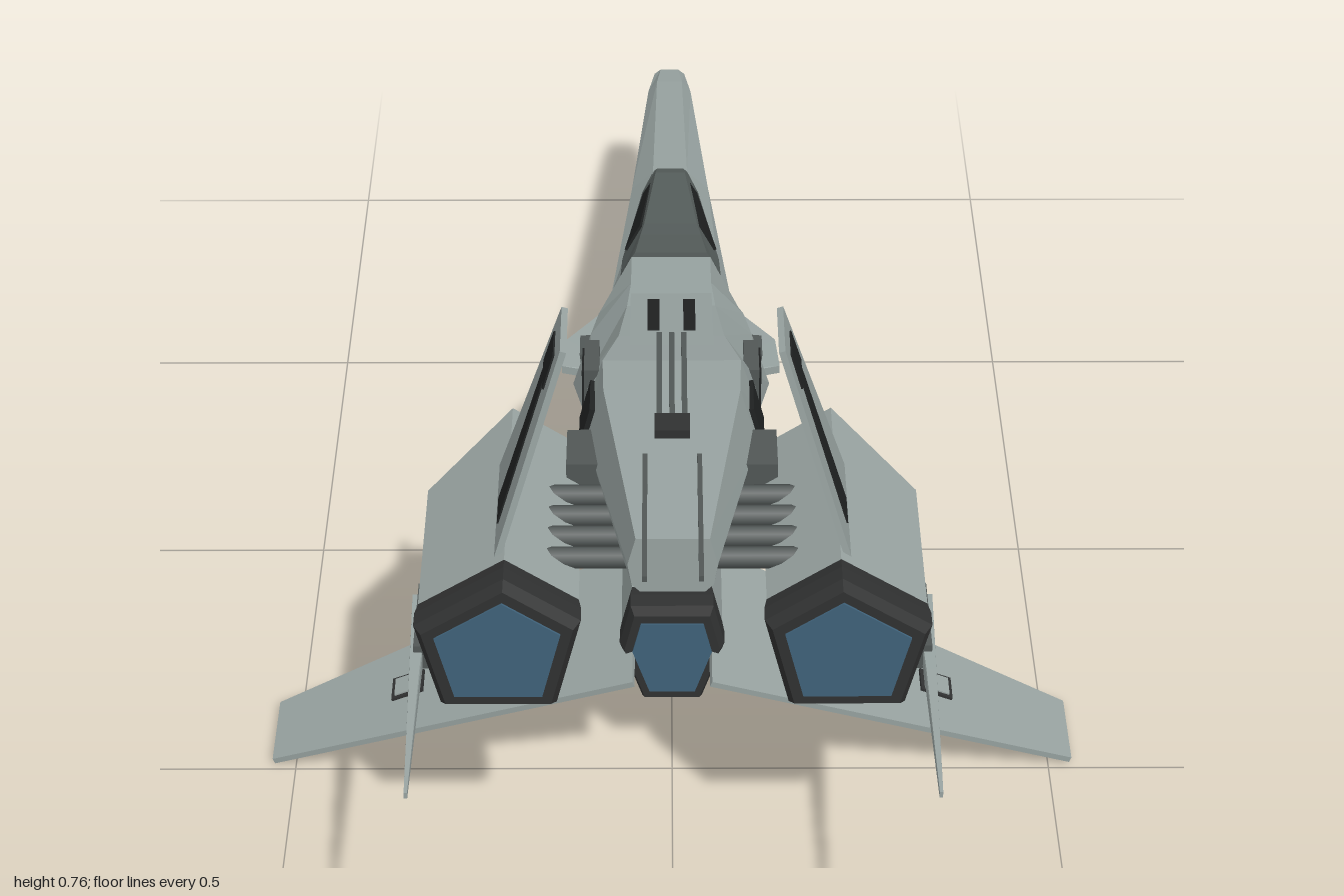
import * as THREE from 'three';
import { ConvexGeometry } from 'three/addons/geometries/ConvexGeometry.js';

const mat = (name, color) => {
  const m = new THREE.MeshStandardMaterial({ color });
  m.name = name;
  return m;
};
const V = (x, y, z) => new THREE.Vector3(x, y, z);

export function createModel() {
  const hull = mat('hullGrey', 0x98a3a1);
  const black = mat('blackMarking', 0x202222);
  const glow = mat('exhaustBlue', 0x3f627a);
  const tint = mat('canopyGrey', 0x59615f);
  const metal = mat('darkMetal', 0x515756);
  const rimMat = mat('nozzleRim', 0x303131);
  const model = new THREE.Group();

  const add = (parent, name, geo, material) => {
    const m = new THREE.Mesh(geo, material);
    m.name = name;
    parent.add(m);
    return m;
  };
  const box = (parent, name, material, w, h, d, x, y, z, rx = 0, rz = 0) => {
    const m = add(parent, name, new THREE.BoxGeometry(w, h, d), material);
    m.position.set(x, y, z);
    m.rotation.set(rx, 0, rz);
    return m;
  };
  const solid = (parent, name, material, pts) => add(parent, name, new ConvexGeometry(pts), material);
  // thin sheet: corners pushed both ways along a normal
  const plate = (parent, name, material, corners, n, t) =>
    solid(parent, name, material, corners.flatMap(c => [c.clone().addScaledVector(n, t), c.clone().addScaledVector(n, -t)]));

  // flat-shaded skin over mirrored cross-sections: [z, then half-width, height pairs from top down]
  const loft = (sections) => {
    const rings = sections.map(([z, ...p]) => {
      const right = [], left = [];
      for (let i = 0; i < p.length; i += 2) {
        right.push(V(p[i], p[i + 1], z));
        left.unshift(V(-p[i], p[i + 1], z));
      }
      return [...left, ...right].reverse();
    });
    const pos = [], tri = (...v) => v.forEach(q => pos.push(q.x, q.y, q.z));
    const n = rings[0].length;
    for (let r = 0; r < rings.length - 1; r++) {
      for (let i = 0; i < n; i++) {
        const j = (i + 1) % n, a = rings[r], b = rings[r + 1];
        tri(a[i], a[j], b[j]);
        tri(a[i], b[j], b[i]);
      }
    }
    const first = rings[0], last = rings[rings.length - 1];
    for (let i = 1; i < n - 1; i++) {
      tri(first[0], first[i + 1], first[i]);
      tri(last[0], last[i], last[i + 1]);
    }
    const g = new THREE.BufferGeometry();
    g.setAttribute('position', new THREE.Float32BufferAttribute(pos, 3));
    g.computeVertexNormals();
    return g;
  };

  // long needle nose, body and tapering tail
  add(model, 'fuselage', loft([
    [-1.0, .014, .245, .024, .237, .024, .225, .014, .215],
    [-.94, .02, .255, .034, .237, .034, .217, .02, .195],
    [-.57, .026, .299, .058, .27, .062, .235, .035, .188],
    [-.2, .07, .34, .085, .31, .088, .25, .05, .187],
    [-.08, .055, .443, .095, .36, .112, .27, .06, .176],
    [0, .055, .45, .1, .4, .13, .29, .075, .215],
    [.07, .06, .456, .11, .41, .135, .33, .085, .28],
    [.2, .07, .49, .11, .43, .115, .36, .09, .3],
    [.3, .09, .515, .114, .44, .1, .38, .08, .31],
    [.38, .088, .521, .11, .44, .09, .41, .06, .39],
    [.72, .045, .528, .055, .49, .05, .46, .04, .45],
  ]), hull);

  // canopy and its dark side panes
  add(model, 'canopy', loft([
    [-.575, .02, .302, .026, .297],
    [-.5, .022, .338, .042, .304],
    [-.26, .038, .391, .07, .331],
    [-.2, .043, .408, .072, .34],
    [-.085, .05, .447, .056, .438],
  ]), tint);
  for (const s of [-1, 1]) {
    plate(model, 'canopyPane', black,
      [V(s * .0275, .33, -.48), V(s * .042, .383, -.265), V(s * .064, .343, -.265), V(s * .038, .313, -.48)],
      V(s * .88, .47, 0), .003);
  }

  // raised spine hatch with slots
  box(model, 'spineHatch', hull, .11, .014, .19, 0, .48, .145, -.24);
  for (const x of [-.024, .024]) box(model, 'spineSlot', black, .016, .008, .13, x, .485, .145, -.24);
  for (const x of [-.016, 0, .016]) box(model, 'spineRail', metal, .007, .012, .24, x, .519, .36, -.035);
  box(model, 'spineBox', rimMat, .045, .018, .04, 0, .526, .475);

  // keel strut under the body
  solid(model, 'keelStrut', hull, [-1, 1].flatMap(s => [
    V(s * .08, .33, .08), V(s * .085, .34, .33), V(s * .07, .42, .37),
    V(s * .05, .24, .25), V(s * .05, .24, .41), V(s * .075, .285, .06)]));
  plate(model, 'rearHatch', metal, [V(-.045, .36, .385), V(.045, .36, .385), V(.032, .27, .408), V(-.032, .27, .408)], V(0, .25, .97), .006);

  // nozzle: dark chamfered rim and blue exhaust face
  const nozzle = (parent, profile, cx, cy, z, inner) => {
    const ring = (k, zz) => profile.map(([x, y]) => V(cx + (x - cx) * k, cy + (y - cy) * k, zz));
    solid(parent, 'nozzleRim', rimMat, [...ring(1, z - .06), ...ring(1.035, z - .04), ...ring(1.035, z - .015), ...ring(.94, z)]);
    solid(parent, 'exhaust', glow, [...ring(inner, z - .005), ...ring(inner, z + .003)]);
  };

  // lower engine pod with raked front
  const podProfile = [[-.052, .257], [.052, .257], [.066, .2], [.038, .118], [-.038, .118], [-.066, .2]];
  solid(model, 'lowerPod', hull, podProfile.flatMap(([x, y]) => [V(x, y, .48), V(x, y, .23 + (.257 - y) * .85)]));
  nozzle(model, podProfile, 0, .19, .505, .78);
  box(model, 'podSkid', rimMat, .04, .012, .08, 0, .113, .43);

  // everything that exists once per side, built on the +x side
  const side = () => {
    const g = new THREE.Group();

    // upper engine
    const prof = [[.205, .487], [.115, .427], [.145, .308], [.283, .308], [.312, .42]];
    const frontZ = [.37, .37, .385, .45, .46];
    const front = prof.map(([x, y], i) => V(x, y, frontZ[i]));
    solid(g, 'engine', hull, [...front, ...prof.map(([x, y]) => V(x, y, .73))]);
    nozzle(g, prof, .212, .39, .765, .78);
    const quad = [front[0], front[2], front[3], front[4]];
    const mid = quad.reduce((a, p) => a.add(p), V(0, 0, 0)).multiplyScalar(.25);
    const n = quad[2].clone().sub(quad[0]).cross(quad[3].clone().sub(quad[1])).normalize();
    plate(g, 'intake', black, quad.map(p => p.clone().lerp(mid, .27)), n, .0045);
    box(g, 'engineSkid', metal, .045, .018, .1, .26, .302, .64);

    // rear spike on the engine flank
    box(g, 'spikeMount', metal, .024, .034, .13, .305, .369, .68);
    solid(g, 'rearSpike', hull, [V(.304, .38, .63), V(.324, .38, .63), V(.304, .355, .63), V(.324, .355, .63),
      V(.308, .376, .78), V(.32, .376, .78), V(.308, .352, .78), V(.32, .352, .78),
      V(.311, .364, 1), V(.315, .364, 1), V(.311, .356, 1), V(.315, .356, 1)]);

    // upright fin with dark stripe
    const fin = (h, z) => V(.215 - .298 * (h - .475), h, z);
    const fn = V(.958, .286, 0);
    plate(g, 'fin', hull, [fin(.46, .69), fin(.76, .665), fin(.76, .564), fin(.46, .483)], fn, .004);
    plate(g, 'finStripe', black, [fin(.49, .635), fin(.7, .62), fin(.7, .59), fin(.49, .58)], fn, .006);
    plate(g, 'finStripeTop', black, [fin(.69, .64), fin(.735, .635), fin(.735, .58), fin(.69, .575)], fn, .0062);

    // drooping wing
    const wing = (s, z) => V(.05 + .93 * s, .193 - .368 * s, z);
    const wn = V(.368, .93, 0);
    plate(g, 'wing', hull, [wing(0, .27), wing(.516, .365), wing(.516, .488), wing(0, .57)], wn, .004);
    const disc = [...Array(8)].map((_, i) => wing(.13 + .035 * Math.cos(i * Math.PI / 4), .455 + .04 * Math.sin(i * Math.PI / 4)));
    plate(g, 'wingDisc', black, disc, wn, .0055);
    plate(g, 'wingHatchEdge', rimMat, [wing(.3, .4), wing(.345, .4), wing(.345, .445), wing(.3, .445)], wn, .0075);
    plate(g, 'wingHatch', hull, [wing(.305, .405), wing(.34, .405), wing(.34, .44), wing(.305, .44)], wn, .0095);

    // small forward winglet
    plate(g, 'winglet', hull, [V(.06, .24, -.31), V(.105, .243, -.22), V(.15, .25, -.16), V(.155, .25, -.09), V(.1, .242, -.085), V(.06, .24, -.09)], V(0, 1, 0), .006);

    // cross pipes joining tail and engine
    for (const z of [.5, .545, .59, .635]) {
      const p = add(g, 'crossPipe', new THREE.CylinderGeometry(.014, .014, .1, 8), metal);
      p.rotation.z = Math.PI / 2;
      p.position.set(.105, .44, z);
    }
    box(g, 'engineBracket', metal, .05, .06, .08, .11, .43, .42);

    // flank vents
    box(g, 'ventFrame', metal, .02, .085, .075, .106, .42, .205);
    for (const z of [.183, .205, .227]) box(g, 'ventSlot', black, .02, .07, .016, .109, .42, z);
    box(g, 'rearVent', black, .02, .06, .07, .104, .45, .33, 0, .25);
    box(g, 'flankHatch', metal, .016, .05, .05, .117, .305, -.03, 0, -.1);

    // tail antenna
    box(g, 'antenna', metal, .006, .008, .26, .034, .53, .675);
    return g;
  };
  const left = side(), right = side();
  left.name = 'leftSide';
  right.name = 'rightSide';
  right.scale.x = -1;
  model.add(left, right);
  return model;
}
